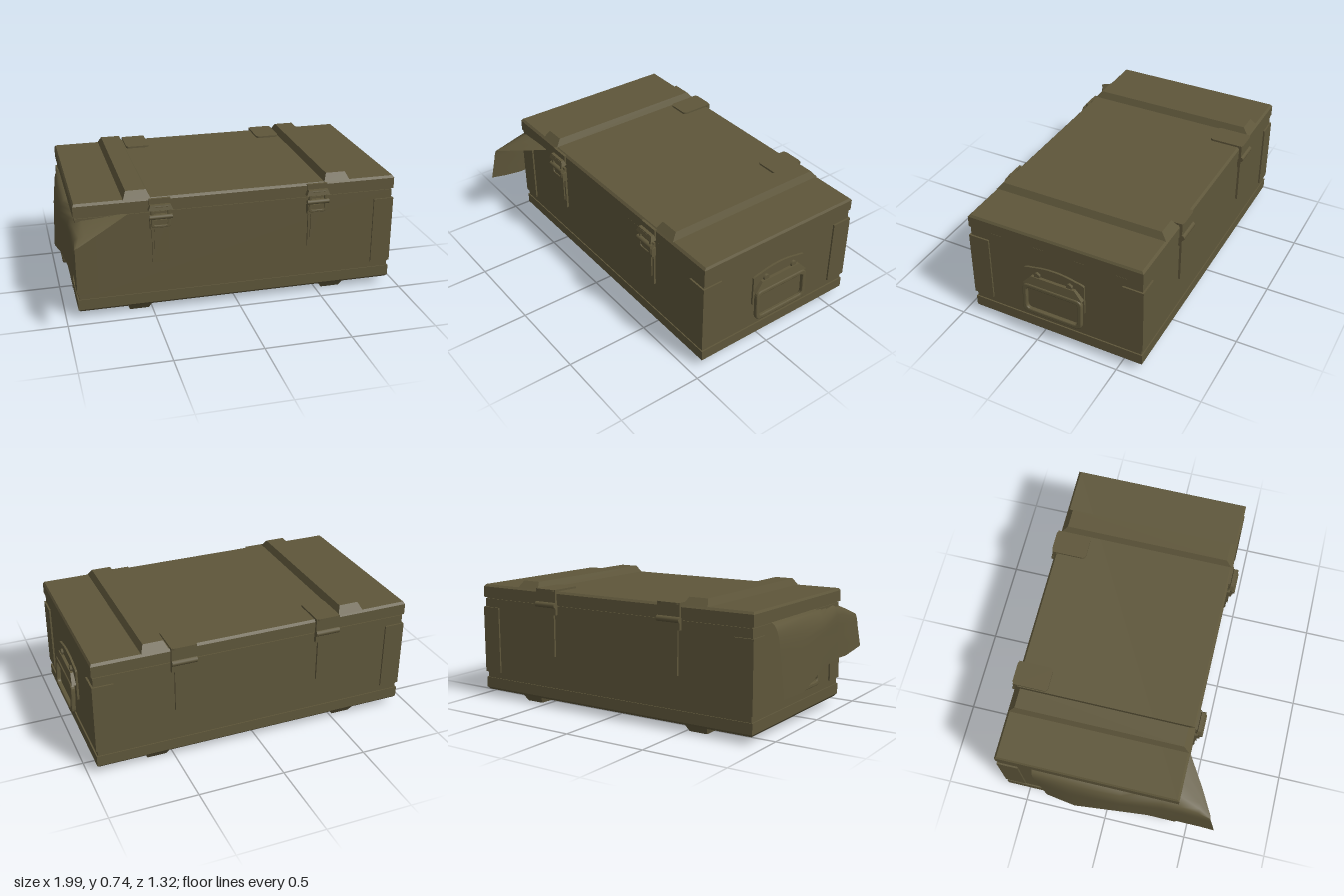
import * as THREE from 'three';

const olive = new THREE.MeshStandardMaterial({ color: 0x5e563a });
olive.name = 'olive drab';
const oliveCloth = olive.clone();
oliveCloth.name = 'olive cloth';
oliveCloth.side = THREE.DoubleSide;

function add(parent, name, geo, x = 0, y = 0, z = 0) {
  const m = new THREE.Mesh(geo, olive);
  m.name = name;
  m.position.set(x, y, z);
  parent.add(m);
  return m;
}

// Box given by its limits along each axis
function block(parent, name, x0, x1, y0, y1, z0, z1) {
  return add(parent, name, new THREE.BoxGeometry(x1 - x0, y1 - y0, z1 - z0),
    (x0 + x1) / 2, (y0 + y1) / 2, (z0 + z1) / 2);
}

// Box whose upper (or, with up = -1, lower) face is drawn in by ix and iz
function taper(w, h, d, ix, iz, up = 1) {
  const g = new THREE.BoxGeometry(w, h, d);
  const p = g.attributes.position;
  for (let i = 0; i < p.count; i++) {
    if (p.getY(i) * up > 0) {
      p.setX(i, p.getX(i) * (1 - 2 * ix / w));
      p.setZ(i, p.getZ(i) * (1 - 2 * iz / d));
    }
  }
  g.computeVertexNormals();
  return g;
}

function rounded(path, w, h, r) {
  const x = w / 2, y = h / 2;
  path.moveTo(-x + r, -y);
  path.lineTo(x - r, -y); path.quadraticCurveTo(x, -y, x, -y + r);
  path.lineTo(x, y - r); path.quadraticCurveTo(x, y, x - r, y);
  path.lineTo(-x + r, y); path.quadraticCurveTo(-x, y, -x, y - r);
  path.lineTo(-x, -y + r); path.quadraticCurveTo(-x, -y, -x + r, -y);
  return path;
}

// Rounded rectangular ring of bar
function ring(w, h, r, bar, depth) {
  const s = rounded(new THREE.Shape(), w, h, r);
  s.holes.push(rounded(new THREE.Path(), w - 2 * bar, h - 2 * bar, r * 0.6));
  const b = depth * 0.25;
  return new THREE.ExtrudeGeometry(s, { depth: depth - 2 * b, bevelThickness: b, bevelSize: b,
    bevelOffset: -b, bevelSegments: 2, curveSegments: 5 }).translate(0, 0, b);
}

function rod(r, length) {
  return new THREE.CylinderGeometry(r, r, length, 12).rotateZ(Math.PI / 2);
}

// Drop handle with its back plate, facing +z
function makeHandle() {
  const g = new THREE.Group();
  g.name = 'carryHandle';
  const s = new THREE.Shape();
  s.moveTo(-0.185, 0.28);
  s.quadraticCurveTo(0, 0.32, 0.185, 0.28);
  s.lineTo(0.185, 0.465);
  s.quadraticCurveTo(0.17, 0.475, 0.13, 0.48);
  s.quadraticCurveTo(0, 0.515, -0.13, 0.48);
  s.quadraticCurveTo(-0.17, 0.475, -0.185, 0.465);
  s.closePath();
  add(g, 'handlePlate', new THREE.ExtrudeGeometry(s, { depth: 0.012, bevelEnabled: false }));
  add(g, 'handleSocket', taper(0.37, 0.055, 0.035, 0.05, 0.008), 0, 0.405, 0.02);
  const loop = add(g, 'handleLoop', ring(0.37, 0.195, 0.04, 0.026, 0.026), 0, 0.283, 0.022);
  loop.rotation.x = -0.04;
  for (const x of [-0.1, 0.1]) {
    add(g, 'handleBolt', new THREE.CylinderGeometry(0.018, 0.022, 0.016, 6).rotateX(Math.PI / 2), x, 0.442, 0.016);
  }
  return g;
}

// Front toggle latch
function makeLatch() {
  const g = new THREE.Group();
  g.name = 'latch';
  block(g, 'latchStrap', -0.048, 0.048, 0.31, 0.6, 0.525, 0.538);
  block(g, 'latchLever', -0.035, 0.035, 0.365, 0.56, 0.538, 0.546);
  block(g, 'latchBody', -0.06, 0.06, 0.52, 0.575, 0.53, 0.56);
  add(g, 'latchWire', ring(0.11, 0.13, 0.02, 0.016, 0.016), 0, 0.595, 0.55);
  add(g, 'latchPivot', rod(0.014, 0.13), 0, 0.595, 0.562);
  block(g, 'latchCatchPlate', -0.06, 0.06, 0.63, 0.695, 0.525, 0.54);
  add(g, 'latchCatch', taper(0.14, 0.03, 0.035, 0.012, 0.008), 0, 0.65, 0.553);
  return g;
}

// Rear hinge: leaf over the lid, barrel and strap down the back
function makeHinge() {
  const g = new THREE.Group();
  g.name = 'hinge';
  const s = rounded(new THREE.Shape(), 0.145, 0.21, 0.025);
  add(g, 'hingeTopLeaf', new THREE.ExtrudeGeometry(s, { depth: 0.012, bevelEnabled: false }).rotateX(-Math.PI / 2),
    0, 0.697, -0.445);
  block(g, 'hingeBackLeaf', -0.072, 0.072, 0.56, 0.709, -0.545, -0.525);
  block(g, 'hingeStrap', -0.052, 0.052, 0.31, 0.57, -0.537, -0.52);
  add(g, 'hingeBarrel', rod(0.017, 0.145), 0, 0.617, -0.543);
  return g;
}

// Cloth spilling out under the lid: rows of x, y, z points from the lid edge down to the hem
function makeCloth() {
  const sections = [
    [-0.92, 0.615, -0.42, -0.945, 0.59, -0.42, -0.96, 0.53, -0.41, -0.965, 0.4, -0.39, -0.972, 0.19, -0.36],
    [-0.92, 0.615, -0.2, -0.955, 0.6, -0.2, -0.98, 0.53, -0.2, -0.99, 0.4, -0.19, -1.0, 0.2, -0.18],
    [-0.92, 0.615, 0.1, -0.95, 0.6, 0.1, -0.975, 0.54, 0.1, -0.98, 0.45, 0.1, -0.985, 0.28, 0.1],
    [-0.78, 0.615, 0.34, -0.88, 0.613, 0.34, -0.945, 0.59, 0.34, -0.958, 0.46, 0.34, -0.963, 0.29, 0.34],
    [-0.63, 0.615, 0.43, -0.78, 0.605, 0.435, -0.935, 0.58, 0.44, -0.955, 0.46, 0.45, -0.965, 0.287, 0.46],
    [-0.8, 0.565, 0.54, -0.87, 0.56, 0.545, -0.94, 0.545, 0.55, -0.957, 0.44, 0.56, -0.967, 0.3, 0.57],
    [-0.93, 0.525, 0.615, -0.94, 0.523, 0.618, -0.952, 0.515, 0.622, -0.962, 0.42, 0.64, -0.972, 0.315, 0.66],
  ];
  const n = 10, pos = [], idx = [];
  for (const s of sections) {
    const pts = [];
    for (let i = 0; i < s.length; i += 3) pts.push(new THREE.Vector3(s[i], s[i + 1], s[i + 2]));
    for (const p of new THREE.CatmullRomCurve3(pts).getPoints(n)) pos.push(p.x, p.y, p.z);
  }
  for (let r = 0; r < sections.length - 1; r++) {
    for (let c = 0; c < n; c++) {
      const a = r * (n + 1) + c, b = a + n + 1;
      idx.push(a, a + 1, b, b, a + 1, b + 1);
    }
  }
  const g = new THREE.BufferGeometry();
  g.setAttribute('position', new THREE.Float32BufferAttribute(pos, 3));
  g.setIndex(idx);
  g.computeVertexNormals();
  const m = new THREE.Mesh(g, oliveCloth);
  m.name = 'drapedCloth';
  return m;
}

export function createModel() {
  const model = new THREE.Group();
  model.name = 'storageCrate';
  const crate = new THREE.Group();
  crate.name = 'crate';
  crate.position.set(0.01, 0, -0.1);
  model.add(crate);
  const X = 0.94, Z = 0.53;

  // Body, base band and lid with chamfered rims
  block(crate, 'body', -X + 0.008, X - 0.008, 0.11, 0.612, -Z + 0.006, Z - 0.006);
  block(crate, 'baseBand', -X, X, 0.055, 0.118, -Z, Z);
  add(crate, 'baseChamfer', taper(2 * X, 0.015, 2 * Z, 0.012, 0.015, -1), 0, 0.0475, 0);
  block(crate, 'lid', -X, X, 0.62, 0.685, -Z, Z);
  block(crate, 'lidLip', -X + 0.015, X - 0.015, 0.605, 0.63, -Z + 0.012, Z - 0.012);
  add(crate, 'lidChamfer', taper(2 * X, 0.013, 2 * Z, 0.008, 0.012), 0, 0.6915, 0);

  for (const sx of [-1, 1]) {
    // Battens across lid and bottom
    add(crate, 'topBatten', taper(0.155, 0.042, 1.05, 0.02, 0.035), sx * 0.585, 0.717, 0);
    add(crate, 'bottomBatten', taper(0.155, 0.06, 1.05, 0.022, 0.04, -1), sx * 0.585, 0.03, 0);

    // Angle plates wrapped around the corners
    for (const sz of [-1, 1]) {
      const a = block(crate, 'cornerPlateFace', -0.06, 0.06, 0.155, 0.56, -0.006, 0.006);
      a.position.x = sx * (X - 0.058);
      a.position.z = sz * (Z - 0.002);
      const b = block(crate, 'cornerPlateSide', -0.006, 0.006, 0.155, 0.56, -0.06, 0.06);
      b.position.x = sx * (X - 0.004);
      b.position.z = sz * (Z - 0.06);
    }

    const latch = makeLatch();
    latch.position.x = sx * 0.46;
    const hinge = makeHinge();
    hinge.position.x = sx * 0.43;
    const handle = makeHandle();
    handle.rotation.y = sx * Math.PI / 2;
    handle.position.x = sx * (X - 0.008);
    crate.add(latch, hinge, handle);
  }

  model.add(makeCloth());
  return model;
}
